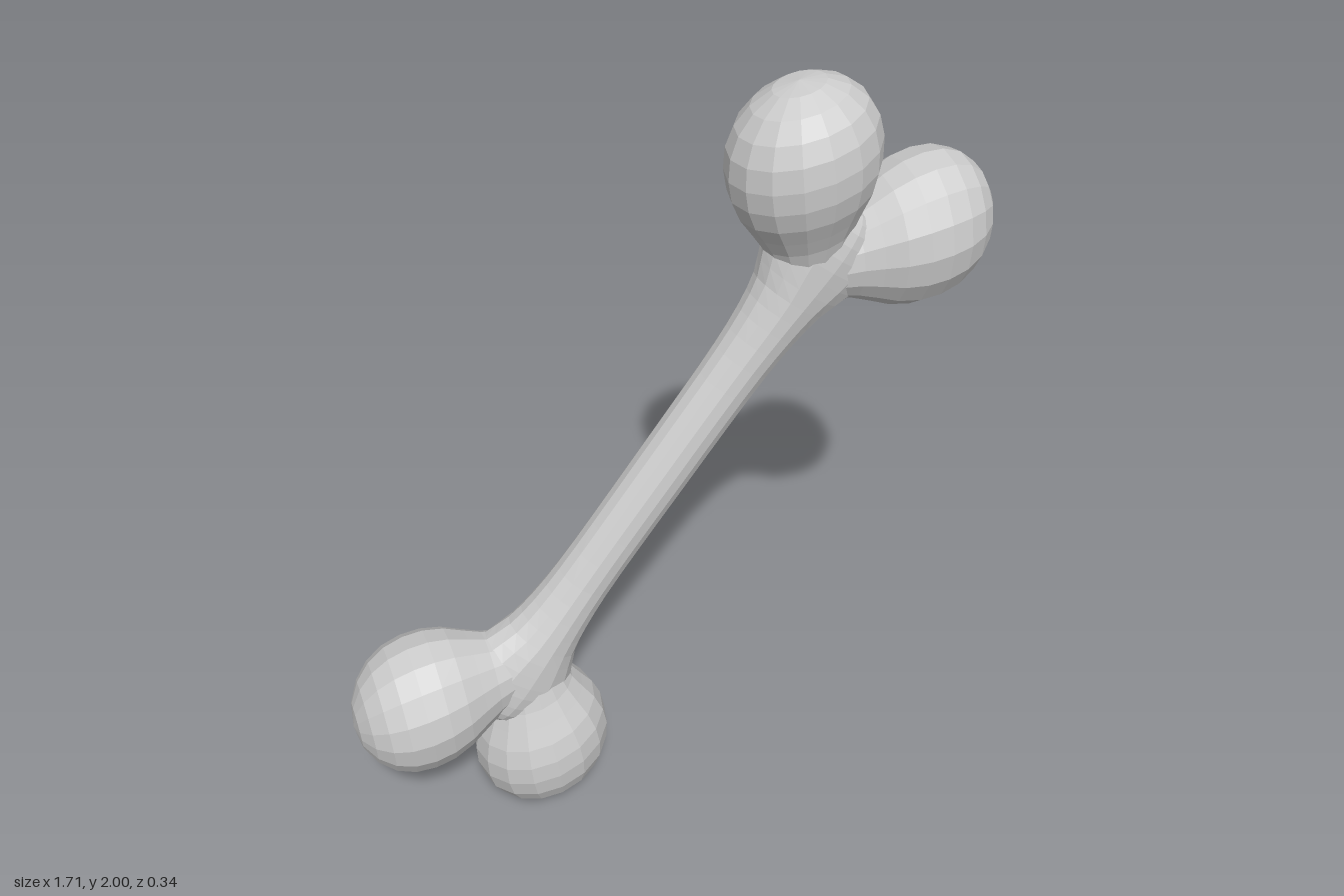
import * as THREE from 'three';

const material = new THREE.MeshStandardMaterial({ color: 0xcccccc, flatShading: true });
const SIDES = 16;

// Half of the shaft, middle to fork: [half width, height, half depth]
const SHAFT = [
  [0.077, 0, 0.072], [0.077, 0.2, 0.072], [0.079, 0.36, 0.075], [0.087, 0.47, 0.082],
  [0.105, 0.56, 0.09], [0.145, 0.64, 0.097], [0.165, 0.71, 0.1], [0.13, 0.78, 0.09],
  [0.06, 0.82, 0.06], [0.001, 0.835, 0.001],
];

// Knob outline from hidden neck to tip: [radius, height]
const KNOB = [
  [0.085, -0.3], [0.105, -0.24], [0.12, -0.195], [0.143, -0.15], [0.17, -0.1],
  [0.187, -0.045], [0.191, 0.01], [0.182, 0.065], [0.158, 0.113], [0.118, 0.153],
  [0.065, 0.181], [0, 0.191],
];

// Elliptical loft: turn the width outline, then fit the depth row by row
function shaftGeometry() {
  const full = [
    ...SHAFT.slice(1).reverse().map(([w, y, d]) => new THREE.Vector3(w, -y, d)),
    ...SHAFT.map(([w, y, d]) => new THREE.Vector3(w, y, d)),
  ];
  const rows = new THREE.CatmullRomCurve3(full).getPoints(36);
  const geometry = new THREE.LatheGeometry(
    rows.map((p) => new THREE.Vector2(Math.max(p.x, 0.001), p.y)), SIDES);
  const pos = geometry.attributes.position;
  for (let i = 0; i < pos.count; i++) {
    const row = rows[i % rows.length];
    pos.setZ(i, pos.getZ(i) * Math.max(row.z, 0.001) / Math.max(row.x, 0.001));
  }
  geometry.computeVertexNormals();
  return geometry;
}

// Knob leaning outward, slightly long along the bone and narrow in depth
function knobGeometry(side) {
  const geometry = new THREE.LatheGeometry(KNOB.map(([r, y]) => new THREE.Vector2(r, y)), SIDES);
  geometry.rotateZ(-side * THREE.MathUtils.degToRad(46.6));
  geometry.scale(0.93, 1.05, 0.9);
  geometry.translate(side * 0.198, 0.86, 0);
  return geometry;
}

export function createModel() {
  const model = new THREE.Group();
  model.name = 'bone';

  // Whole bone leans to its left
  const bone = new THREE.Group();
  bone.name = 'leaningBone';
  bone.position.y = 1;
  bone.rotation.z = -THREE.MathUtils.degToRad(36.6);
  model.add(bone);

  const shaft = new THREE.Mesh(shaftGeometry(), material);
  shaft.name = 'shaft';
  bone.add(shaft);

  // Two knobs at each end, the lower end being the upper one turned over
  for (const [name, turn] of [['upper', 0], ['lower', Math.PI]]) {
    const end = new THREE.Group();
    end.name = `${name}End`;
    end.rotation.z = turn;
    for (const side of [-1, 1]) {
      const knob = new THREE.Mesh(knobGeometry(side), material);
      knob.name = `${name}${side < 0 ? 'Inner' : 'Outer'}Knob`;
      end.add(knob);
    }
    bone.add(end);
  }
  return model;
}
